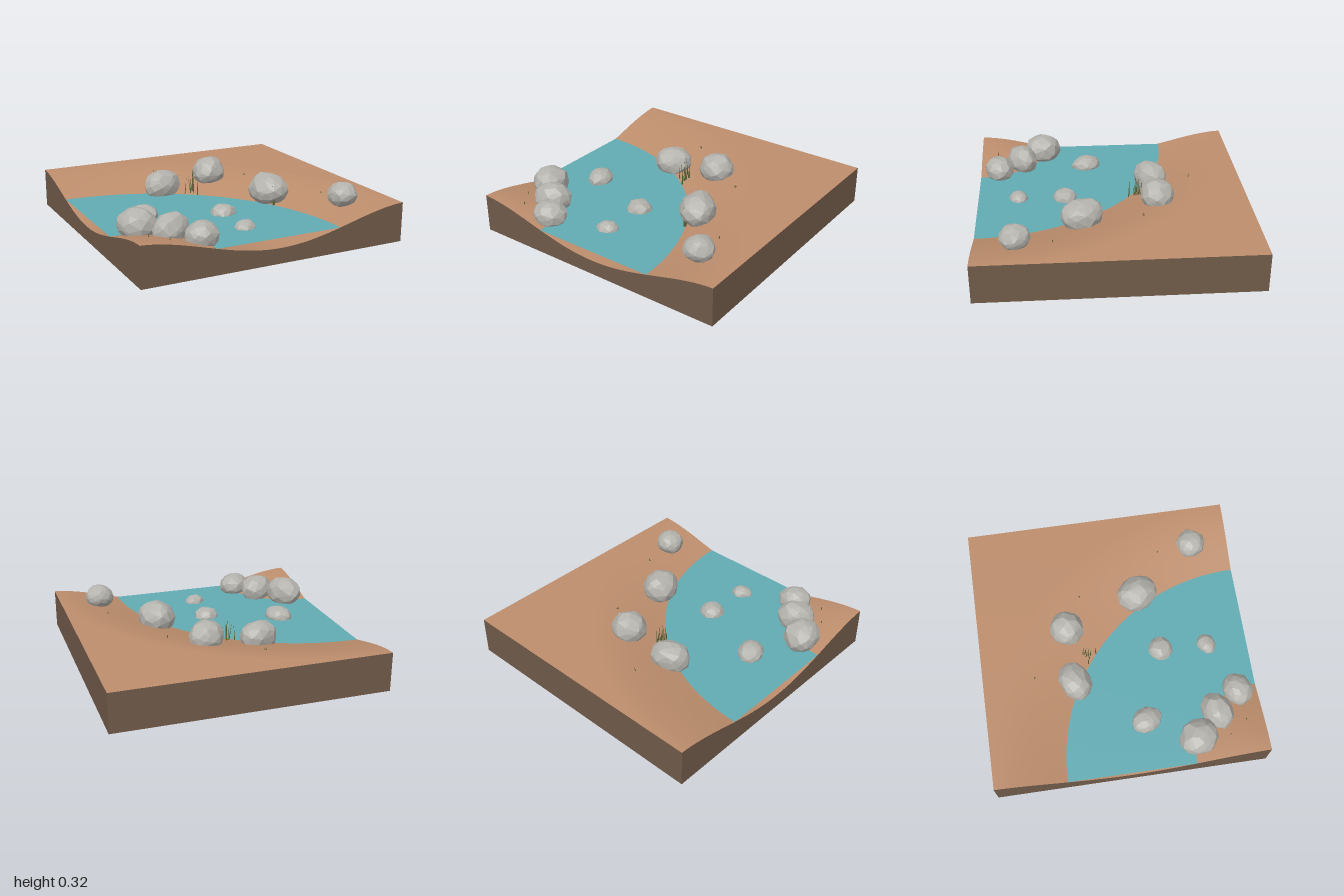
import * as THREE from 'three';
import { ConvexGeometry } from 'three/addons/geometries/ConvexGeometry.js';

const HALF = 0.767;   // half the side of the square block
const TURN = -0.3875; // block is turned about y
const RIM = 0.222, DEPTH = 0.137, BEND = 0.77, WATER_Y = 0.14;

const mat = (color, extra = {}) => new THREE.MeshStandardMaterial({ color, ...extra });

function seeded(seed) {
  let s = seed * 7919 + 17;
  return () => (s = (s * 16807) % 2147483647) / 2147483647;
}

// Riverbed: a smooth trough bending round the front right corner of the block
function groundHeight(x, z) {
  const d = Math.abs(Math.hypot(HALF - x, HALF - z) - BEND);
  if (d >= BEND) return RIM;
  return RIM - DEPTH * Math.pow(0.5 + 0.5 * Math.cos((Math.PI * d) / BEND), 0.85);
}

// Ground height at an unturned position
function heightAt(x, z) {
  const c = Math.cos(TURN), s = Math.sin(TURN);
  return groundHeight(c * x - s * z, s * x + c * z);
}

function add(parent, name, geometry, material) {
  const mesh = new THREE.Mesh(geometry, material);
  mesh.name = name;
  parent.add(mesh);
  return mesh;
}

function makeBlock() {
  const block = new THREE.Group();
  block.name = 'landBlock';
  block.rotation.y = TURN;

  // Ground surface
  const top = new THREE.PlaneGeometry(2 * HALF, 2 * HALF, 64, 64).rotateX(-Math.PI / 2);
  const p = top.attributes.position;
  for (let i = 0; i < p.count; i++) p.setY(i, groundHeight(p.getX(i), p.getZ(i)));
  top.computeVertexNormals();
  add(block, 'ground', top, mat(0xbc8d6c));

  // Four cut earth sides following the ground's edge
  const earth = mat(0x705a49);
  for (let k = 0; k < 4; k++) {
    const side = new THREE.PlaneGeometry(2 * HALF, 1, 64, 1)
      .translate(0, 0.5, HALF).rotateY((k * Math.PI) / 2);
    const q = side.attributes.position;
    for (let i = 0; i < q.count; i++) {
      q.setY(i, q.getY(i) > 0.5 ? groundHeight(q.getX(i), q.getZ(i)) : 0);
    }
    add(block, 'earthSide' + (k + 1), side, earth);
  }
  add(block, 'underside', new THREE.PlaneGeometry(2 * HALF, 2 * HALF).rotateX(Math.PI / 2), earth);

  // Flat water sheet, its curved edges buried in the banks
  const water = new THREE.RingGeometry(0.35, 1.2, 48, 1, Math.PI / 2, Math.PI / 2)
    .rotateX(-Math.PI / 2).translate(HALF, WATER_Y, HALF);
  add(block, 'water', water, mat(0x62abb3, { side: THREE.DoubleSide }));
  return block;
}

// Boulder: convex hull of points scattered over a sphere, then stretched
function boulderGeometry(seed) {
  const rnd = seeded(seed), pts = [], n = 75;
  for (let i = 0; i < n; i++) {
    const y = 1 - (2 * (i + 0.5)) / n;
    const a = i * 2.39996 + (rnd() - 0.5) * 0.5;
    const r = Math.sqrt(1 - y * y);
    pts.push(new THREE.Vector3(r * Math.cos(a), y + (rnd() - 0.5) * 0.1, r * Math.sin(a))
      .multiplyScalar(0.96 + rnd() * 0.09));
  }
  return new ConvexGeometry(pts);
}

// Tuft of thin blades: [x, z], count, spread, height
function makeTuft(name, x, z, count, spread, height, seed, material) {
  const tuft = new THREE.Group(), rnd = seeded(seed);
  tuft.name = name;
  for (let i = 0; i < count; i++) {
    const bx = x + (rnd() - 0.5) * spread, bz = z + (rnd() - 0.5) * spread;
    const h = height * (0.7 + rnd() * 0.3);
    const blade = add(tuft, 'blade', new THREE.ConeGeometry(0.004, h, 4).translate(0, h / 2, 0), material);
    blade.position.set(bx, heightAt(bx, bz) - 0.005, bz);
    blade.rotation.set((rnd() - 0.5) * 0.2, 0, (rnd() - 0.5) * 0.2);
  }
  return tuft;
}

export function createModel() {
  const model = new THREE.Group();
  model.name = 'riverBend';
  model.add(makeBlock());

  // Boulders: centre x, y, z, then radii x, y, z
  const stone = mat(0xb4b2ac, { flatShading: true });
  const boulders = [
    [-0.2, 0.23, -0.19, 0.095, 0.092, 0.1],
    [-0.31, 0.19, 0.1, 0.09, 0.09, 0.115],
    [0.265, 0.21, -0.18, 0.122, 0.093, 0.1],
    [0.7, 0.24, -0.285, 0.083, 0.068, 0.085],
    [0.22, 0.137, 0.165, 0.07, 0.055, 0.073],
    [0.465, 0.132, 0.275, 0.054, 0.05, 0.063],
    [-0.07, 0.148, 0.49, 0.09, 0.055, 0.071],
    [0.46, 0.178, 0.605, 0.083, 0.076, 0.096],
    [0.29, 0.186, 0.655, 0.085, 0.088, 0.108],
    [0.12, 0.193, 0.73, 0.112, 0.092, 0.1],
  ];
  boulders.forEach(([x, y, z, rx, ry, rz], i) => {
    const rock = add(model, 'boulder' + (i + 1), boulderGeometry(i + 1), stone);
    rock.position.set(x, y, z);
    rock.scale.set(rx, ry, rz);
  });

  // Reeds at the water's edge and small sprouts on the banks
  const reed = mat(0x5f6a3c);
  model.add(makeTuft('reeds', -0.155, 0, 9, 0.08, 0.14, 3, reed));
  model.add(makeTuft('reedsByBoulder', 0.35, -0.13, 5, 0.06, 0.13, 5, reed));
  [[-0.5, -0.03], [-0.04, -0.33], [0.51, -0.355], [0.4, 0.78], [0.28, 0.8]].forEach(([x, z], i) =>
    model.add(makeTuft('sprout' + (i + 1), x, z, 2, 0.012, 0.025, 11 + i, reed)));
  return model;
}
